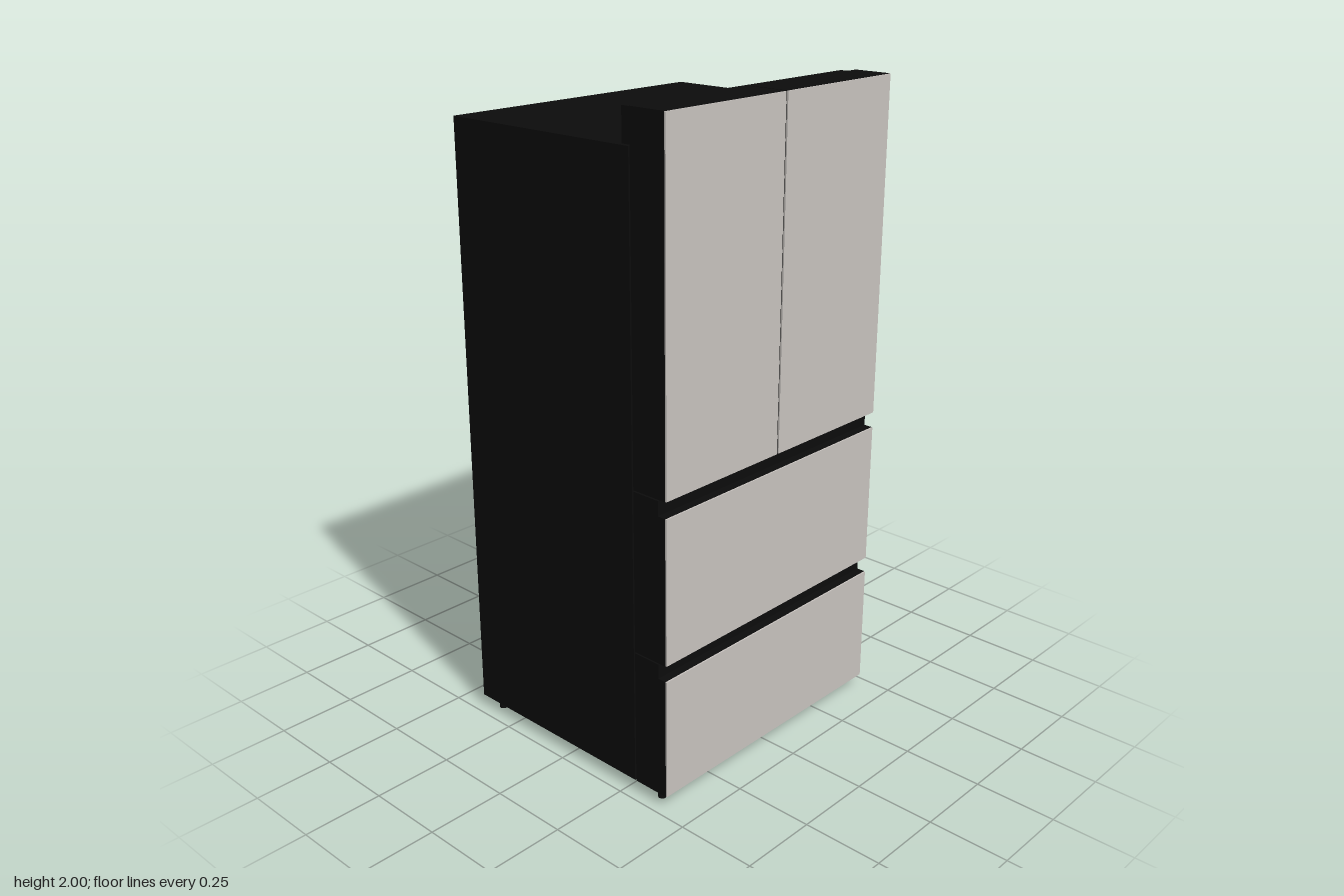
import * as THREE from 'three';

export function createModel() {
  const model = new THREE.Group();
  model.name = 'refrigerator';
  const black = new THREE.MeshStandardMaterial({ name: 'black casing', color: 0x0c0c0c });
  const silver = new THREE.MeshStandardMaterial({ name: 'warm silver', color: 0xc8c3bf });

  // Box given by its limits on each axis
  function box(name, material, [x0, x1], [y0, y1], [z0, z1], parent = model) {
    const mesh = new THREE.Mesh(new THREE.BoxGeometry(x1 - x0, y1 - y0, z1 - z0), material);
    mesh.position.set((x0 + x1) / 2, (y0 + y1) / 2, (z0 + z1) / 2);
    mesh.name = name;
    parent.add(mesh);
    return mesh;
  }

  const W = 0.467, BACK = -0.408, SEAL = 0.28, DOOR = 0.285, GRIP = 0.377, SKIN = 0.403, FRONT = 0.408;

  // Cabinet, gasket and raised hinge cover
  box('cabinet', black, [-W, W], [0.037, 1.9], [BACK, SEAL]);
  box('gasket', black, [-W + 0.012, W - 0.012], [0.05, 1.98], [SEAL, DOOR]);
  box('hingeCover', black, [-0.452, 0.452], [1.9, 1.996], [0.242, SEAL]);

  // Two upper doors with thin silver skins
  for (const [name, x0, x1] of [['rightDoor', -W, -0.003], ['leftDoor', 0.003, W]]) {
    const door = new THREE.Group();
    door.name = name;
    model.add(door);
    box(name + 'Body', black, [x0, x1], [0.967, 2], [DOOR, SKIN], door);
    box(name + 'Skin', silver, [x0 + 0.001, x1 - 0.001], [0.968, 1.999], [SKIN, FRONT], door);
  }

  // Drawers: side profile with a recessed grip ledge along the top
  function drawer(name, y0, yGrip, y1) {
    const group = new THREE.Group();
    group.name = name;
    model.add(group);
    const profile = new THREE.Shape([
      [DOOR, y0], [SKIN, y0], [SKIN, yGrip], [GRIP, yGrip], [GRIP, y1], [DOOR, y1],
    ].map(([z, y]) => new THREE.Vector2(-z, y)));
    const geometry = new THREE.ExtrudeGeometry(profile, { depth: 2 * W, bevelEnabled: false });
    geometry.translate(0, 0, -W).rotateY(Math.PI / 2);
    const body = new THREE.Mesh(geometry, black);
    body.name = name + 'Body';
    group.add(body);
    box(name + 'Skin', silver, [-W + 0.001, W - 0.001], [y0 + 0.001, yGrip - 0.001], [SKIN, FRONT], group);
  }
  drawer('upperDrawer', 0.467, 0.918, 0.963);
  drawer('lowerDrawer', 0.037, 0.418, 0.463);

  // Four short feet
  for (const x of [-0.432, 0.432]) for (const z of [0.357, -0.353]) {
    const foot = new THREE.Mesh(new THREE.CylinderGeometry(0.013, 0.013, 0.04, 20), black);
    foot.position.set(x, 0.02, z);
    foot.name = 'foot';
    model.add(foot);
  }
  return model;
}
